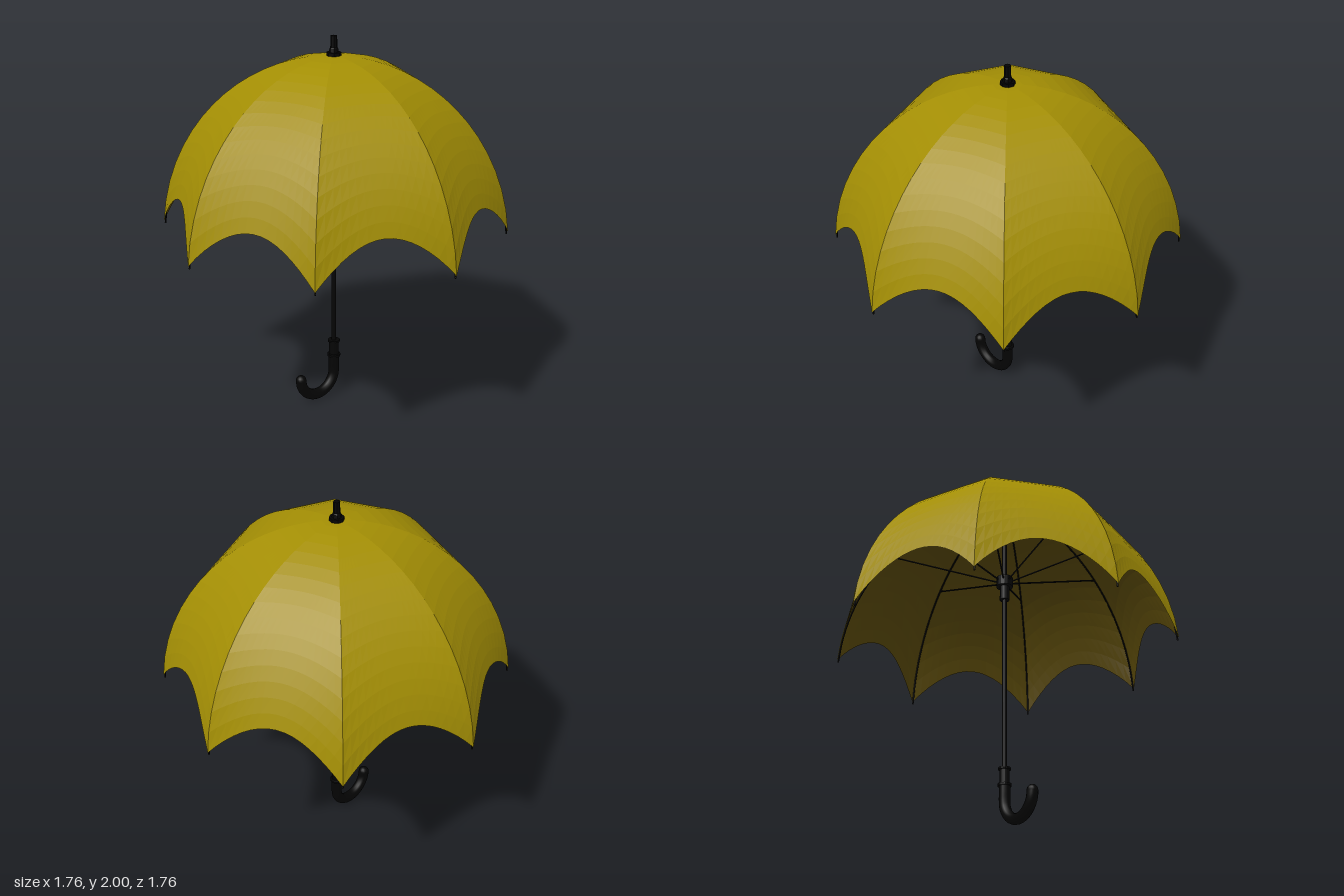
import * as THREE from 'three';

const PANELS = 8;
const FIRST_RIB = THREE.MathUtils.degToRad(29.5);
const CENTRE_Y = 0.9, RADIUS = 0.919, HEIGHT = 1.0;

const ribAngle = (i) => FIRST_RIB + (i * Math.PI * 2) / PANELS;
const phiAt = (y) => Math.acos((y - CENTRE_Y) / HEIGHT);

// Point on the dome: phi runs down from the crown, angle runs round the shaft
function domePoint(phi, angle, inset = 0) {
  const r = (RADIUS - inset) * Math.sin(phi);
  return new THREE.Vector3(
    r * Math.cos(angle),
    CENTRE_Y + (HEIGHT - inset) * Math.cos(phi),
    r * Math.sin(angle)
  );
}

// One panel, straight between two ribs, level rows easing into a scalloped hem
function panelGeometry(i, inset, facesIn, rows = 16, cols = 16) {
  const pos = [], index = [];
  const archPhi = phiAt(1.2);
  for (let r = 0; r <= rows; r++) {
    for (let c = 0; c <= cols; c++) {
      const t = c / cols, v = r / rows;
      const hemPhi = phiAt(0.985 + 0.215 * (1 - (2 * t - 1) ** 2));
      const phi = v * archPhi + (hemPhi - archPhi) * v ** 3;
      const p = domePoint(phi, ribAngle(i), inset).lerp(domePoint(phi, ribAngle(i + 1), inset), t);
      pos.push(p.x, p.y, p.z);
    }
  }
  const w = cols + 1;
  const face = (a, b, c) => (facesIn ? index.push(a, c, b) : index.push(a, b, c));
  for (let r = 0; r < rows; r++) {
    for (let c = 0; c < cols; c++) {
      const a = r * w + c, b = a + 1, d = a + w, e = d + 1;
      if (r > 0) face(a, b, e);
      face(a, e, d);
    }
  }
  const g = new THREE.BufferGeometry();
  g.setAttribute('position', new THREE.Float32BufferAttribute(pos, 3));
  g.setIndex(index);
  g.computeVertexNormals();
  return g;
}

export function createModel() {
  const cloth = new THREE.MeshStandardMaterial({ name: 'mustard cloth', color: 0xa38e04, flatShading: true });
  const lining = new THREE.MeshStandardMaterial({ name: 'dark lining', color: 0x574708, flatShading: true });
  const black = new THREE.MeshStandardMaterial({ name: 'black frame', color: 0x040404 });

  const model = new THREE.Group();
  model.name = 'umbrella';
  const add = (parent, name, geometry, material) => {
    const mesh = new THREE.Mesh(geometry, material);
    mesh.name = name;
    parent.add(mesh);
    return mesh;
  };
  const group = (name) => {
    const g = new THREE.Group();
    g.name = name;
    model.add(g);
    return g;
  };
  // Hard-edged turned part from [radius, y] pairs listed bottom to top
  const turned = (points, sides, start = 0) => {
    const g = new THREE.LatheGeometry(
      points.map(([r, y]) => new THREE.Vector2(r, y)), sides, start).toNonIndexed();
    g.computeVertexNormals();
    return g;
  };

  // Canopy, ribs and stretchers
  const canopy = group('canopy');
  const frame = group('frame');
  const stretcherPhi = Math.asin(0.65 / RADIUS);
  for (let i = 0; i < PANELS; i++) {
    add(canopy, 'clothPanel', panelGeometry(i, 0, false), cloth);
    add(canopy, 'liningPanel', panelGeometry(i, 0.002, true), lining);

    const a = ribAngle(i);
    const path = [];
    for (let k = 0; k <= 12; k++) path.push(domePoint(0.05 + (k / 12) * 1.446, a, 0.009));
    add(frame, 'rib', new THREE.TubeGeometry(new THREE.CatmullRomCurve3(path), 28, 0.0045, 6), black);

    const tip = add(frame, 'ribTip', new THREE.SphereGeometry(0.005, 8, 6), black);
    tip.position.copy(path[12]);

    const start = new THREE.Vector3(0.03 * Math.cos(a), 1.385, 0.03 * Math.sin(a));
    const line = new THREE.LineCurve3(start, domePoint(stretcherPhi, a, 0.012));
    add(frame, 'stretcher', new THREE.TubeGeometry(line, 1, 0.0045, 6), black);
  }

  // Shaft, sliding runner and crown ferrule
  const shaft = add(model, 'shaft', new THREE.CylinderGeometry(0.013, 0.013, 1.62, 16), black);
  shaft.position.y = 1.1;
  add(model, 'runner', turned([
    [0, 1.275], [0.026, 1.275], [0.026, 1.355], [0.045, 1.355], [0.045, 1.41], [0, 1.41],
  ], 16), black);
  add(model, 'ferrule', turned([
    [0, 1.89], [0.038, 1.89], [0.038, 1.916], [0.025, 1.916], [0.022, 1.935],
    [0.018, 1.94], [0.017, 2], [0, 2],
  ], 8, Math.PI / 8), black);

  // Grip sleeve with two collars
  const handle = group('handle');
  add(handle, 'gripSleeve', turned([
    [0, 0.225], [0.036, 0.225], [0.036, 0.237], [0.026, 0.24], [0.026, 0.31],
    [0.033, 0.312], [0.033, 0.322], [0, 0.322],
  ], 20), black);

  // Hooked handle, turned a little towards the front
  const hook = [new THREE.Vector3(0, 0.24, 0), new THREE.Vector3(0, 0.19, 0)];
  const bend = 0.115, yaw = THREE.MathUtils.degToRad(15.5);
  for (let k = 0; k <= 12; k++) {
    const t = (k / 12) * Math.PI;
    const out = bend * (1 - Math.cos(t));
    hook.push(new THREE.Vector3(-out * Math.cos(yaw), 0.145 - bend * Math.sin(t), out * Math.sin(yaw)));
  }
  add(handle, 'hook', new THREE.TubeGeometry(new THREE.CatmullRomCurve3(hook), 40, 0.029, 14), black);
  const end = add(handle, 'hookEnd', new THREE.SphereGeometry(0.029, 14, 10), black);
  end.position.copy(hook[hook.length - 1]);

  return model;
}
